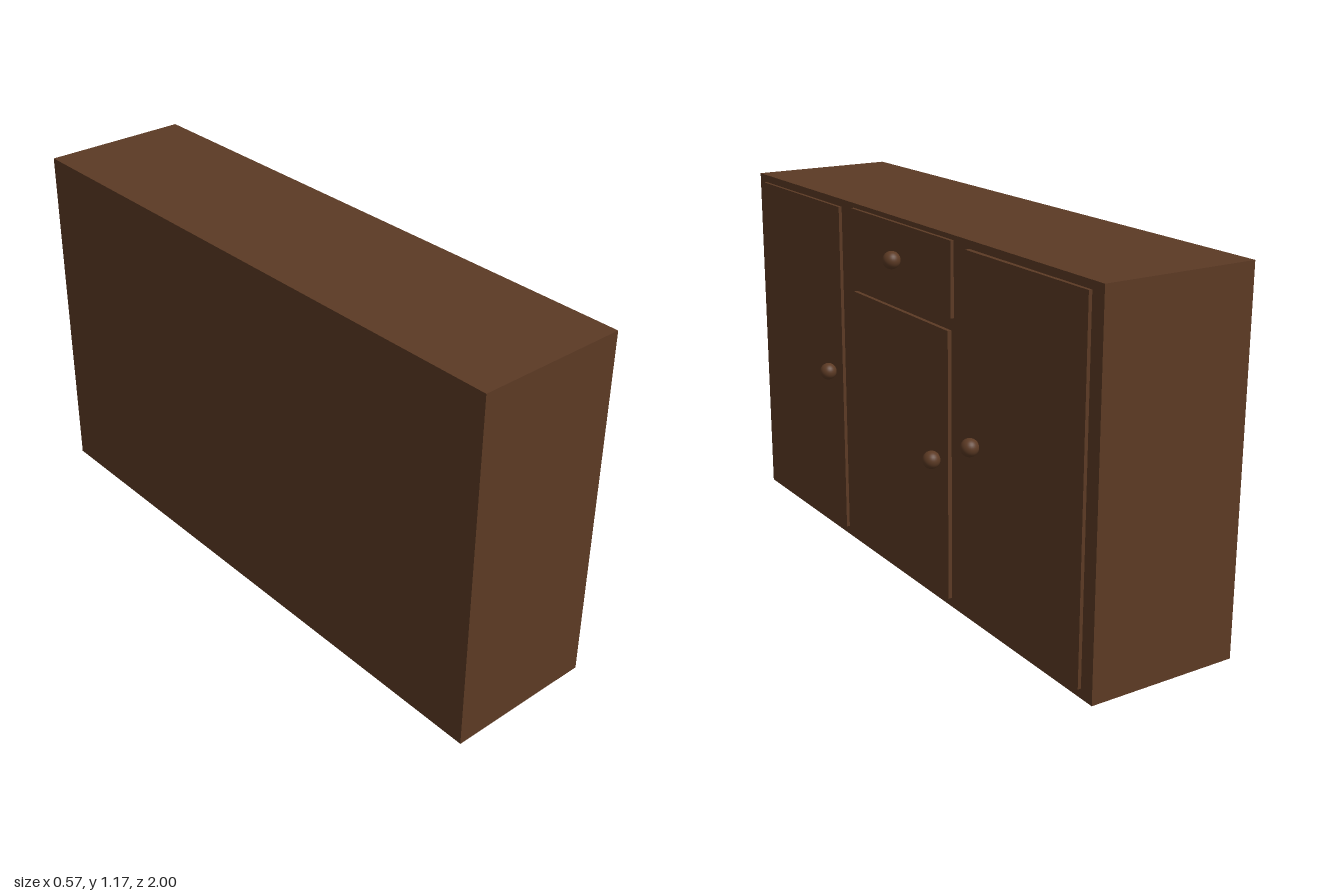
import * as THREE from 'three';

const wood = new THREE.MeshStandardMaterial({ color: 0x5c3a24 });
const FACE = 0.215; // x of the cabinet's door side

function box(name, x0, x1, y0, y1, z0, z1) {
  const mesh = new THREE.Mesh(new THREE.BoxGeometry(x1 - x0, y1 - y0, z1 - z0), wood);
  mesh.name = name;
  mesh.position.set((x0 + x1) / 2, (y0 + y1) / 2, (z0 + z1) / 2);
  return mesh;
}

// A panel with its round knob, pivoting about a vertical hinge line
function front({ name, y, z, knob, hinge, depth = 0.011, angle = 0 }) {
  const group = new THREE.Group();
  group.name = name;
  group.position.set(FACE, 0, hinge);
  group.rotation.y = angle;
  group.add(box(name + 'Panel', -0.005, depth, y[0], y[1], z[0] - hinge, z[1] - hinge));
  const ball = new THREE.Mesh(new THREE.SphereGeometry(0.028, 32, 16), wood);
  ball.name = name + 'Knob';
  ball.position.set(0.035, knob[0], knob[1] - hinge);
  group.add(ball);
  return group;
}

export function createModel() {
  const model = new THREE.Group();
  model.name = 'sideboard';
  model.add(box('carcass', -0.285, FACE, 0, 1.175, -1, 1));

  // Three doors, one very slightly ajar, and a drawer above the middle door
  const fronts = [
    { name: 'leftDoor', y: [0.03, 1.15], z: [0.383, 0.95], knob: [0.583, 0.443], hinge: 0.95 },
    { name: 'rightDoor', y: [0.03, 1.15], z: [-0.95, -0.383], knob: [0.583, -0.446], hinge: -0.95, angle: 0.008 },
    { name: 'middleDoor', y: [0.03, 0.89], z: [-0.287, 0.287], knob: [0.475, -0.226], hinge: 0.287, depth: 0.013 },
    { name: 'drawer', y: [0.93, 1.16], z: [-0.3, 0.3], knob: [1.05, 0], hinge: 0 },
  ];
  for (const f of fronts) model.add(front(f));
  return model;
}
